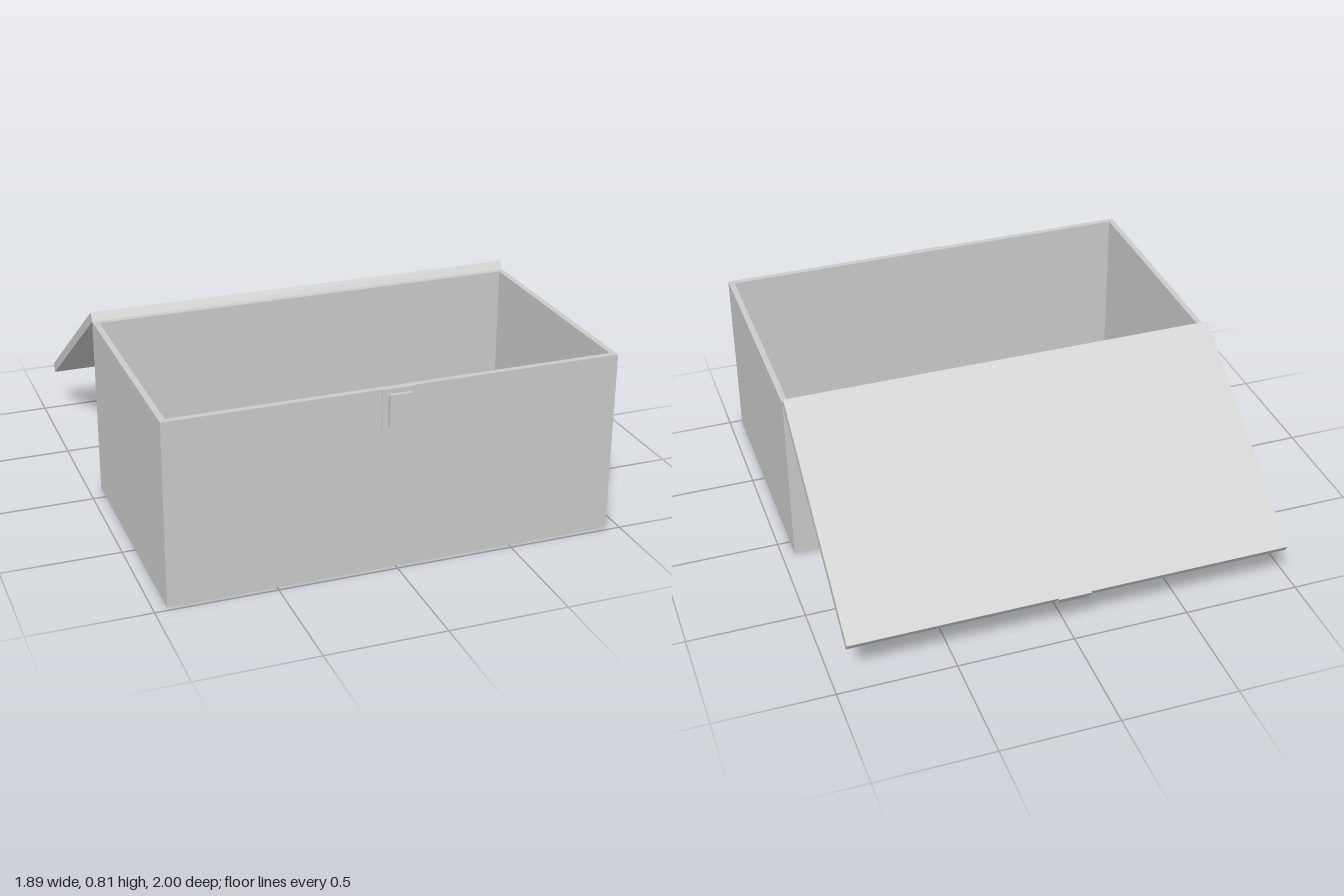
import * as THREE from 'three';

const W = 1.89, H = 0.78, T = 0.025;      // body width, height, wall thickness
const FRONT = 0.978, BACK = -0.085, D = FRONT - BACK;
const LID = 0.04, PLATE = 0.006;          // lid and metal plate thickness

export function createModel() {
  const group = new THREE.Group();
  group.name = 'openChest';
  const material = new THREE.MeshStandardMaterial({ color: 0xcccccc, flatShading: true });

  // Box given by its size and centre
  function box(parent, name, size, centre) {
    const mesh = new THREE.Mesh(new THREE.BoxGeometry(...size), material);
    mesh.name = name;
    mesh.position.set(...centre);
    parent.add(mesh);
    return mesh;
  }

  // Walls: one rectangular frame extruded upwards
  const frame = new THREE.Shape();
  frame.moveTo(-W / 2, -D / 2).lineTo(W / 2, -D / 2).lineTo(W / 2, D / 2).lineTo(-W / 2, D / 2).closePath();
  const x = W / 2 - T, z = D / 2 - T;
  const opening = new THREE.Path();
  opening.moveTo(-x, -z).lineTo(-x, z).lineTo(x, z).lineTo(x, -z).closePath();
  frame.holes.push(opening);
  const walls = new THREE.Mesh(
    new THREE.ExtrudeGeometry(frame, { depth: H, bevelEnabled: false }).rotateX(-Math.PI / 2), material);
  walls.name = 'walls';
  walls.position.z = (FRONT + BACK) / 2;
  group.add(walls);

  // Floor between the walls
  box(group, 'floor', [2 * x, T, 2 * z], [0, T / 2, (FRONT + BACK) / 2]);

  // Lock on the front: thin back plate and raised case
  box(group, 'lockPlate', [0.14, 0.18, PLATE], [0, H - 0.09, FRONT + PLATE / 2]);
  box(group, 'lockCase', [0.09, 0.135, 0.022], [0, 0.692, FRONT + 0.011]);

  // Lid hinged on the top back edge and swung open behind the body
  const lid = new THREE.Group();
  lid.name = 'lid';
  lid.position.set(0, H, BACK);
  lid.rotation.x = THREE.MathUtils.degToRad(-33.5);
  group.add(lid);
  box(lid, 'lidPanel', [W, LID, D], [0, LID / 2, -D / 2]);

  // Catch plate wrapping the free edge of the lid
  box(lid, 'catchPlate', [0.14, LID + 0.01, PLATE], [0, LID / 2 - 0.005, -D - PLATE / 2]);
  box(lid, 'catchLip', [0.14, 0.01, 0.045], [0, -0.005, -D + 0.0225]);

  return group;
}
